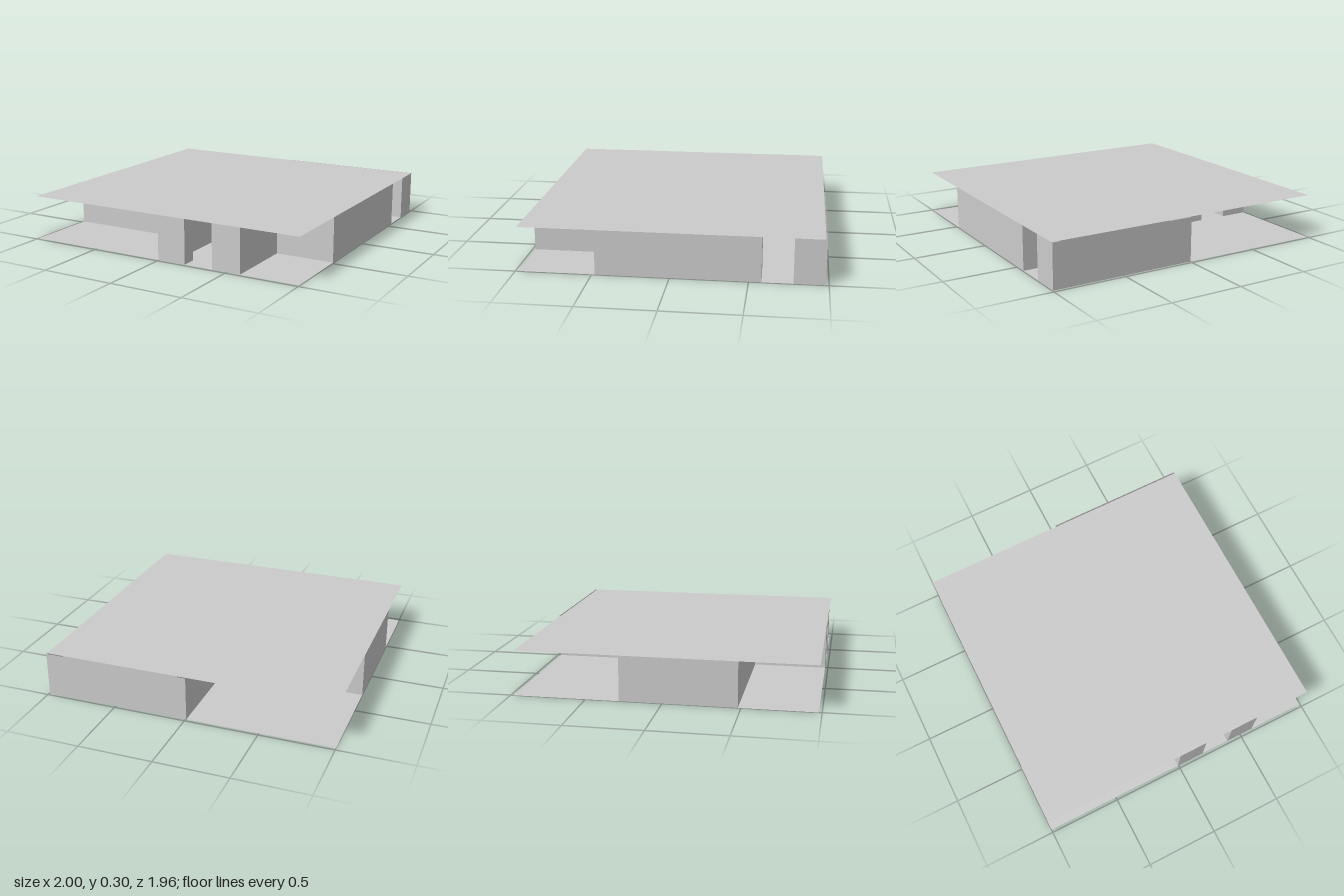
import * as THREE from 'three';
import { mergeGeometries } from 'three/addons/utils/BufferGeometryUtils.js';

const HEIGHT = 0.3;
const X0 = -1, X1 = 0.995, Z0 = -0.98, Z1 = 0.98;

// Plan outlines (x, z) of the three connected runs of wall, 0.1 thick
const wallOutlines = {
  backWalls: [
    [X1, Z0], [X1, -0.78], [0.895, -0.78], [0.895, -0.88], [0.095, -0.88], [0.095, -0.28],
    [0.195, -0.28], [0.195, -0.18], [0.095, -0.18], [0.095, -0.08], [-0.005, -0.08],
    [-0.005, -0.18], [-0.605, -0.18], [-0.605, -0.28], [-0.005, -0.28], [-0.005, Z0],
  ],
  westWalls: [
    [X0, -0.28], [-0.805, -0.28], [-0.805, -0.18], [-0.9, -0.18], [-0.9, 0.38], [-0.005, 0.38],
    [-0.005, 0.28], [0.095, 0.28], [0.095, 0.88], [0.195, 0.88], [0.195, Z1], [-0.005, Z1],
    [-0.005, 0.48], [X0, 0.48],
  ],
  eastWalls: [
    [X1, -0.58], [X1, 0.48], [0.595, 0.48], [0.595, Z1], [0.395, Z1], [0.395, 0.88],
    [0.495, 0.88], [0.495, 0.32], [0.595, 0.32], [0.595, 0.38], [0.895, 0.38], [0.895, -0.18],
    [0.595, -0.18], [0.595, 0.12], [0.495, 0.12], [0.495, -0.18], [0.395, -0.18],
    [0.395, -0.28], [0.895, -0.28], [0.895, -0.58],
  ],
};

// Upright panel between two plan points
function panel([ax, az], [bx, bz]) {
  const dx = bx - ax, dz = bz - az;
  return new THREE.PlaneGeometry(Math.hypot(dx, dz), HEIGHT)
    .rotateY(-Math.atan2(dz, dx))
    .translate((ax + bx) / 2, HEIGHT / 2, (az + bz) / 2);
}

// Flat rectangle facing up
function slab(x0, x1, z0, z1, y) {
  return new THREE.PlaneGeometry(x1 - x0, z1 - z0)
    .rotateX(-Math.PI / 2)
    .translate((x0 + x1) / 2, y, (z0 + z1) / 2);
}

function inside(x, z, outline) {
  let hit = false;
  outline.forEach(([ax, az], i) => {
    const [bx, bz] = outline[(i + 1) % outline.length];
    if ((az > z) !== (bz > z) && x < ax + ((z - az) / (bz - az)) * (bx - ax)) hit = !hit;
  });
  return hit;
}

// Floor of rectangles between the wall lines, left open beneath the hollow walls
function floorGeometry() {
  const outlines = Object.values(wallOutlines);
  const lines = (axis, ...ends) =>
    [...new Set([...ends, ...outlines.flat().map((p) => p[axis])])].sort((a, b) => a - b);
  const xs = lines(0, X0, X1), zs = lines(1, Z0, Z1);
  const cells = [];
  for (let i = 0; i < xs.length - 1; i++) {
    for (let j = 0; j < zs.length - 1; j++) {
      const cx = (xs[i] + xs[i + 1]) / 2, cz = (zs[j] + zs[j + 1]) / 2;
      if (!outlines.some((o) => inside(cx, cz, o))) cells.push(slab(xs[i], xs[i + 1], zs[j], zs[j + 1], 0));
    }
  }
  return mergeGeometries(cells);
}

export function createModel() {
  const group = new THREE.Group();
  group.name = 'floorPlan';
  const material = new THREE.MeshStandardMaterial({ color: 0xcccccc, side: THREE.DoubleSide });
  const add = (name, geometry) => {
    const mesh = new THREE.Mesh(geometry, material);
    mesh.name = name;
    group.add(mesh);
  };

  // Walls, with doorways left as gaps between the runs
  for (const [name, outline] of Object.entries(wallOutlines)) {
    add(name, mergeGeometries(outline.map((p, i) => panel(outline[(i + 1) % outline.length], p))));
  }

  // Floor and ceiling sheets
  add('floor', floorGeometry());
  add('ceiling', slab(X0, X1, Z0 + 0.01, Z1, HEIGHT));
  return group;
}
